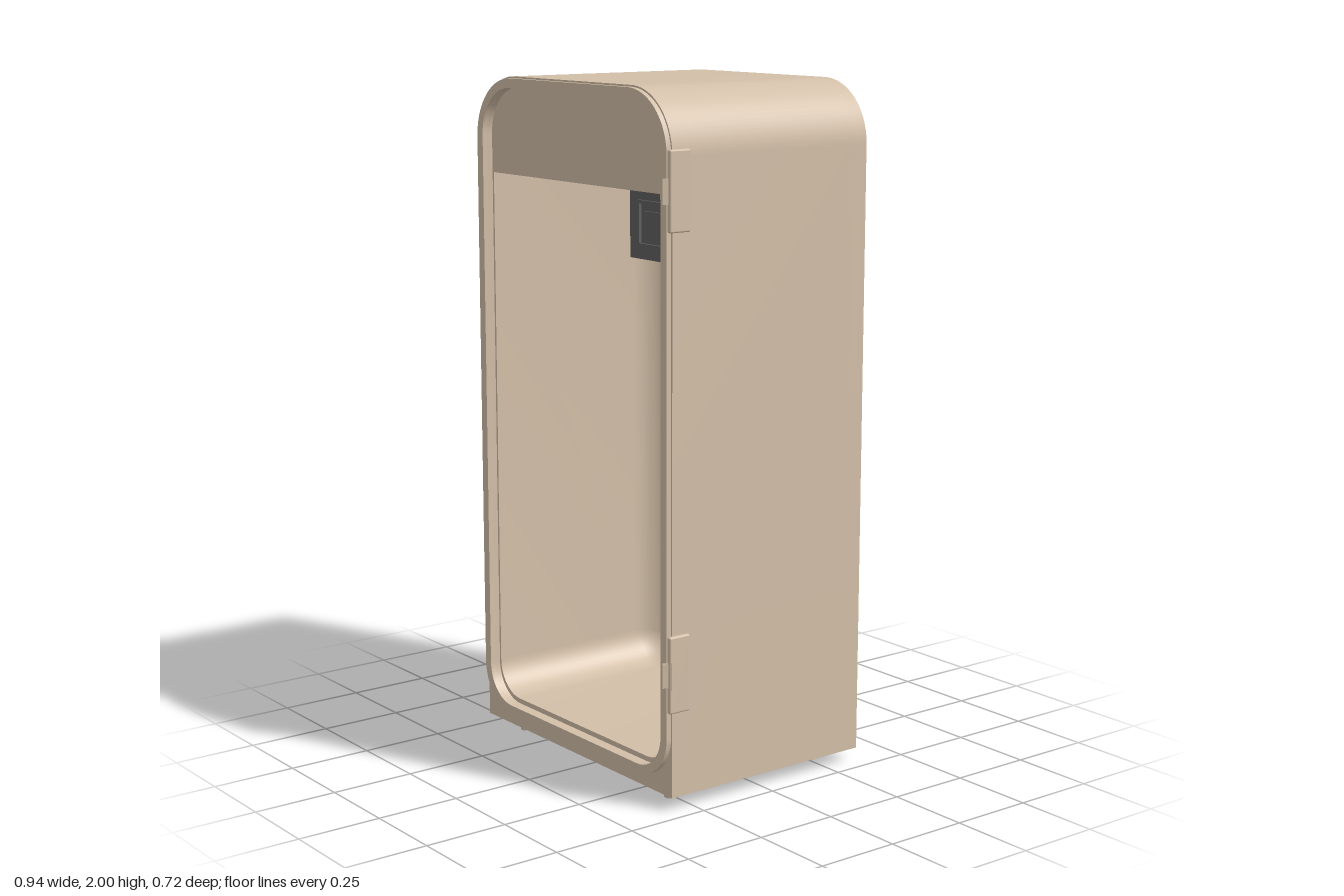
import * as THREE from 'three';
import { toCreasedNormals } from 'three/addons/utils/BufferGeometryUtils.js';
import { RoundedBoxGeometry } from 'three/addons/geometries/RoundedBoxGeometry.js';

const tan = new THREE.MeshStandardMaterial({ color: 0xd3bfa8 });
const dark = new THREE.MeshStandardMaterial({ color: 0x606060 });

// Outline with separate radii for the bottom and top corners, counter-clockwise
function outline(x0, x1, y0, y1, rBottom, rTop, n = 12) {
  const pts = [];
  const corner = (cx, cy, r, start) => {
    const steps = r > 0 ? n : 0;
    for (let i = 0; i <= steps; i++) {
      const a = start + (i / n) * Math.PI / 2;
      pts.push(new THREE.Vector2(cx + r * Math.cos(a), cy + r * Math.sin(a)));
    }
  };
  corner(x0 + rBottom, y0 + rBottom, rBottom, Math.PI);
  corner(x1 - rBottom, y0 + rBottom, rBottom, Math.PI * 1.5);
  corner(x1 - rTop, y1 - rTop, rTop, 0);
  corner(x0 + rTop, y1 - rTop, rTop, Math.PI / 2);
  return pts;
}

// Flat outline, optionally with a hole, pushed from z0 to z1
function slab(pts, hole, z0, z1) {
  const shape = new THREE.Shape(pts);
  if (hole) shape.holes.push(new THREE.Path(hole));
  const g = new THREE.ExtrudeGeometry(shape, { depth: z1 - z0, bevelEnabled: false });
  return toCreasedNormals(g.translate(0, 0, z0), 0.6);
}

// Hollow interior: rings run to the back, then curl in to form the back wall
function linerGeometry() {
  const zFront = 0.31, zBack = -0.3, fillet = 0.1, rings = [[zFront, 0]];
  for (let i = 0; i <= 8; i++) {
    const a = (i / 8) * Math.PI / 2;
    rings.push([zBack + fillet * (1 - Math.sin(a)), fillet * (1 - Math.cos(a))]);
  }
  const pos = [], idx = [];
  let n = 0;
  for (const [z, d] of rings) {
    const pts = outline(-0.43 + d, 0.415 - d, 0.12 + d, 1.715 - d * 0.2, Math.max(0.1 - d, 0.01), 0);
    n = pts.length;
    for (const p of pts) pos.push(p.x, p.y, z);
  }
  for (let r = 0; r < rings.length - 1; r++) {
    for (let i = 0; i < n; i++) {
      const a = r * n + i, b = r * n + (i + 1) % n;
      idx.push(a, b, b + n, a, b + n, a + n);
    }
  }
  // Back wall fan
  const last = (rings.length - 1) * n, centre = rings.length * n;
  pos.push(0, 0.9, zBack);
  for (let i = 0; i < n; i++) idx.push(last + i, last + (i + 1) % n, centre);
  // Face the inside of the cavity
  const g = new THREE.BufferGeometry();
  g.setAttribute('position', new THREE.Float32BufferAttribute(pos, 3));
  g.setIndex(idx);
  return toCreasedNormals(g, 0.6);
}

export function createModel() {
  const model = new THREE.Group();
  model.name = 'refrigerator';
  const add = (name, geometry, material = tan, parent = model) => {
    const mesh = new THREE.Mesh(geometry, material);
    mesh.name = name;
    parent.add(mesh);
    return mesh;
  };

  // Cabinet shell, back panel and raised door rim
  const body = outline(-0.47, 0.455, 0.04, 2, 0, 0.18, 20);
  const opening = outline(-0.437, 0.422, 0.105, 1.967, 0.11, 0.14);
  add('cabinet', slab(body, opening, -0.32, 0.328));
  add('backPanel', slab(body, null, -0.36, -0.32));
  add('doorRim', slab(outline(-0.465, 0.45, 0.08, 1.995, 0.135, 0.175, 20), opening, 0.328, 0.343));

  // Header panel continuing as a thin lip around the cavity
  const mouth = outline(-0.43, 0.415, 0.12, 1.715, 0.1, 0);
  add('headerPanel', slab(opening, mouth, 0.295, 0.31));

  const liner = add('cavityLiner', linerGeometry(), tan.clone());
  liner.material.side = THREE.DoubleSide;

  // Dark control unit hanging under the header
  const control = new THREE.Group();
  control.name = 'controlUnit';
  control.position.set(0.248, 1.615, 0.23);
  model.add(control);
  add('controlBox', new THREE.BoxGeometry(0.225, 0.2, 0.1).translate(0, 0, -0.05), dark, control);
  const square = (s) => outline(-s, s, -s * 0.92, s * 0.92, 0, 0);
  add('controlBezel', slab(square(0.07), square(0.06), 0, 0.008), dark, control);
  add('controlButton', new THREE.BoxGeometry(0.076, 0.07, 0.012), dark, control);

  // Hinges: side plate, raised knuckle and a slanted tongue
  for (const y of [1.73, 0.4]) {
    const hinge = new THREE.Group();
    hinge.name = 'hinge';
    hinge.position.set(0.461, y, 0.31);
    model.add(hinge);
    add('hingePlate', new RoundedBoxGeometry(0.016, 0.22, 0.07, 2, 0.005), tan, hinge);
    add('hingeKnuckle', new THREE.BoxGeometry(0.01, 0.08, 0.024), tan, hinge).position.set(0.004, 0, 0.02);
    const tongue = add('hingeTongue', new THREE.BoxGeometry(0.006, 0.07, 0.03), tan, hinge);
    tongue.position.set(-0.004, 0, 0.035);
    tongue.rotation.y = -0.4;
  }

  // Levelling feet
  const profile = [[0, 0], [0.02, 0], [0.02, 0.025], [0.036, 0.026], [0.043, 0.032], [0.043, 0.042]]
    .map(([x, y]) => new THREE.Vector2(x, y));
  const footGeometry = toCreasedNormals(new THREE.LatheGeometry(profile, 24), 0.5);
  for (const x of [-0.373, 0.355]) {
    for (const z of [0.255, -0.268]) add('foot', footGeometry).position.set(x, 0, z);
  }
  return model;
}
